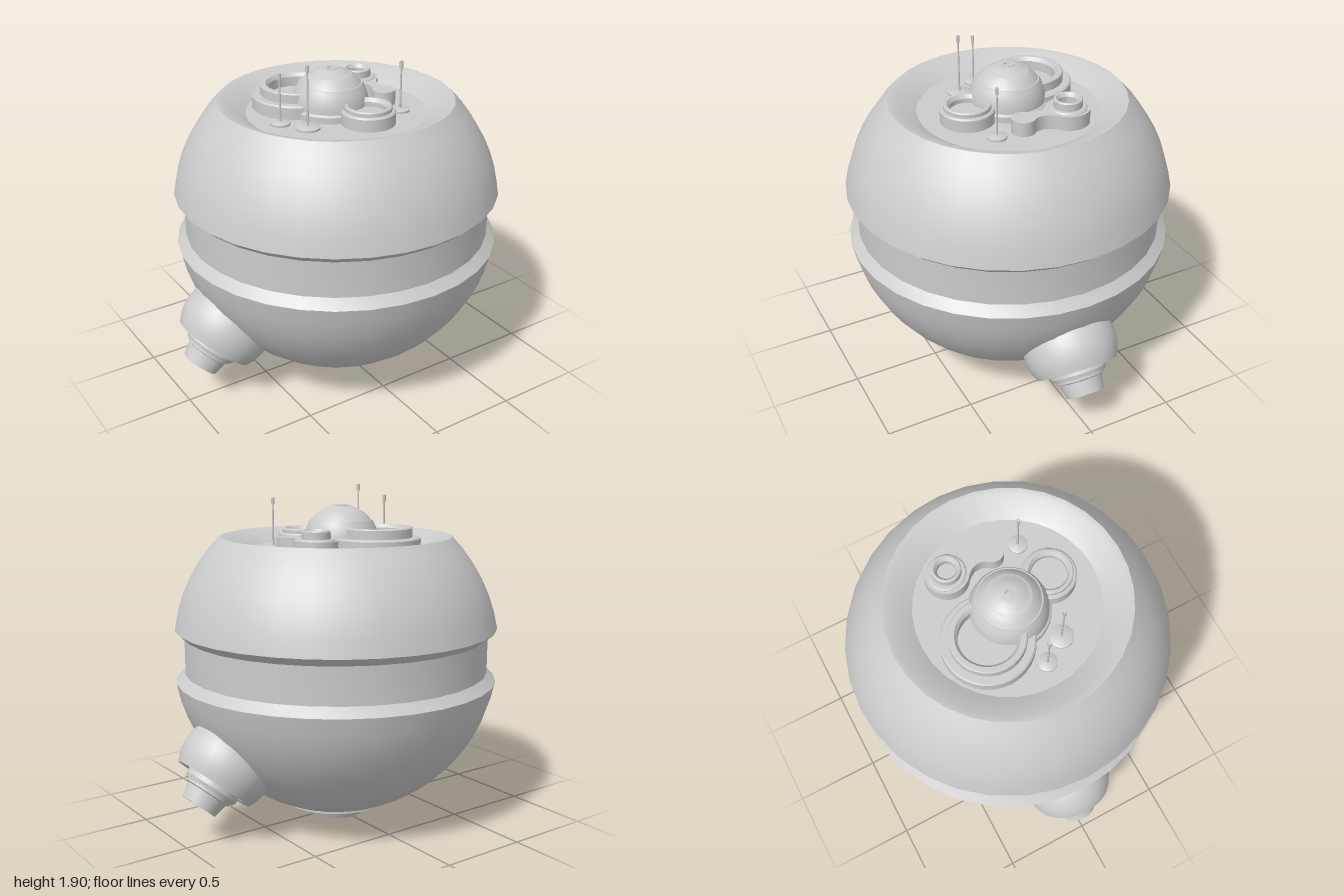
import * as THREE from 'three';
import { toCreasedNormals } from 'three/addons/utils/BufferGeometryUtils.js';

const grey = new THREE.MeshStandardMaterial({ color: 0xcccccc, side: THREE.DoubleSide });

function addMesh(parent, name, geometry, x = 0, y = 0, z = 0) {
  const mesh = new THREE.Mesh(geometry, grey);
  mesh.name = name;
  mesh.position.set(x, y, z);
  parent.add(mesh);
  return mesh;
}

// Turned part from [radius, height] pairs, with sharp edges kept
function turned(points, segments = 32) {
  const profile = points.map(([r, h]) => new THREE.Vector2(r, h));
  return toCreasedNormals(new THREE.LatheGeometry(profile, segments), 0.5);
}

// Points on a circular arc, angles in degrees from the horizontal
function arc(radius, centreY, from, to, steps) {
  return Array.from({ length: steps + 1 }, (_, i) => {
    const a = THREE.MathUtils.degToRad(from + ((to - from) * i) / steps);
    return [radius * Math.cos(a), centreY + radius * Math.sin(a)];
  });
}

const FLOOR = 1.555;

// Flat base disc carrying a hollow collar
function addSocket(parent, name, x, z, baseR, baseTop, collarR, collarTop, holeR) {
  addMesh(parent, name, turned([
    [baseR, FLOOR], [baseR, baseTop - 0.008], [baseR - 0.008, baseTop], [collarR, baseTop],
    [collarR, collarTop - 0.006], [collarR - 0.006, collarTop],
    [holeR + 0.015, collarTop], [holeR, collarTop - 0.02], [holeR, baseTop - 0.02], [0, baseTop - 0.02],
  ]), x, 0, z);
}

function addAntenna(parent, x, z, discR, top) {
  const antenna = new THREE.Group();
  antenna.name = 'antenna';
  antenna.position.set(x, 0, z);
  addMesh(antenna, 'antennaBase', turned([
    [discR, FLOOR], [discR, FLOOR + 0.012], [discR - 0.012, FLOOR + 0.018], [0, FLOOR + 0.018],
  ], 24));
  const rodLength = top - FLOOR - 0.02;
  addMesh(antenna, 'antennaRod', new THREE.CylinderGeometry(0.005, 0.006, rodLength, 8), 0, FLOOR + rodLength / 2, 0);
  addMesh(antenna, 'antennaTip', new THREE.CylinderGeometry(0.01, 0.01, 0.038, 8), 0, top - 0.019, 0);
  parent.add(antenna);
}

export function createModel() {
  const model = new THREE.Group();
  model.name = 'sphericalPod';

  // Ball hull: lower bowl, recessed belt, upper bowl and sunken deck
  addMesh(model, 'hull', turned([
    [0.3, 0.118],
    ...arc(0.928, 0.97, -66.6, -9.3, 9),
    [0.865, 0.87], [0.865, 1.075],
    ...arc(0.928, 0.97, 9.3, 45.3, 6),
    [0.62, 1.625], [0.5, FLOOR], [0, FLOOR],
  ]));

  // Stepped sensor dome on the deck
  addMesh(model, 'sensorDome', turned([
    [0.222, FLOOR], [0.222, 1.59], [0.21, 1.6],
    ...arc(0.21, 1.6, 5, 34, 4),
    ...arc(0.204, 1.6, 35, 55, 3),
    ...arc(0.2, 1.602, 56, 78, 3),
    [0.042, 1.8], [0.018, 1.8], [0.015, 1.788], [0, 1.788],
  ]), -0.03, 0, -0.01);

  // Round sockets around the dome
  addSocket(model, 'largeSocket', -0.14, -0.19, 0.248, 1.63, 0.202, 1.685, 0.155);
  addSocket(model, 'frontSocket', 0.035, 0.26, 0.147, 1.63, 0.128, 1.655, 0.095);

  // Waisted plate joining a small socket to a rounded pad
  const rad = THREE.MathUtils.degToRad;
  const plate = new THREE.Shape();
  plate.absarc(0, 0.21, 0.12, rad(-55), rad(235), false);
  plate.quadraticCurveTo(-0.01, 0.06, -0.042, -0.005);
  plate.absarc(0, -0.055, 0.065, rad(130), rad(410), false);
  plate.quadraticCurveTo(0.01, 0.06, 0.069, 0.112);
  const plateGeometry = new THREE.ExtrudeGeometry(plate, { depth: 0.08, bevelEnabled: false, curveSegments: 24 });
  plateGeometry.rotateX(-Math.PI / 2);
  addMesh(model, 'waistedPlate', toCreasedNormals(plateGeometry, 0.5), 0.283, FLOOR, 0);
  addSocket(model, 'smallSocket', 0.283, -0.21, 0.105, 1.645, 0.078, 1.69, 0.05);

  // Antennas
  addAntenna(model, -0.372, 0.03, 0.052, 1.84);
  addAntenna(model, -0.282, 0.16, 0.066, 1.9);
  addAntenna(model, 0.283, 0.21, 0.053, 1.84);

  // Side thrusters: ball housing with a stepped nozzle, pointing out and down
  for (const side of [1, -1]) {
    const thruster = new THREE.Group();
    thruster.name = side > 0 ? 'leftThruster' : 'rightThruster';
    thruster.position.set(side * 0.737, 0.427, 0);
    thruster.quaternion.setFromUnitVectors(
      new THREE.Vector3(0, 1, 0), new THREE.Vector3(side * 0.66, -0.75, 0).normalize());
    addMesh(thruster, 'thrusterHousing', turned([
      ...arc(0.263, 0, -90, 30, 14), [0.195, 0.125], [0.185, 0.11], [0.185, 0], [0.1, 0],
    ]));
    addMesh(thruster, 'thrusterNozzle', turned([
      [0.16, 0], [0.16, 0.155], [0.148, 0.175], [0.138, 0.175], [0.135, 0.19], [0.122, 0.195],
      [0.105, 0.275], [0.095, 0.275], [0.09, 0.255], [0, 0.255],
    ]));
    model.add(thruster);
  }

  // Bottom thruster, turned upside down
  const bottom = new THREE.Group();
  bottom.name = 'bottomThruster';
  bottom.position.y = 0.118;
  bottom.rotation.x = Math.PI;
  addMesh(bottom, 'bottomFlange', turned([
    [0.318, -0.02], [0.318, 0.033], [0.27, 0.033], [0.255, 0.02], [0.255, -0.06], [0.15, -0.06],
  ]));
  addMesh(bottom, 'bottomNozzle', turned([
    [0.21, -0.06], [0.21, 0.055], [0.2, 0.075], [0.19, 0.078],
    [0.17, 0.118], [0.148, 0.118], [0.14, 0.09], [0, 0.09],
  ]));
  model.add(bottom);

  return model;
}
